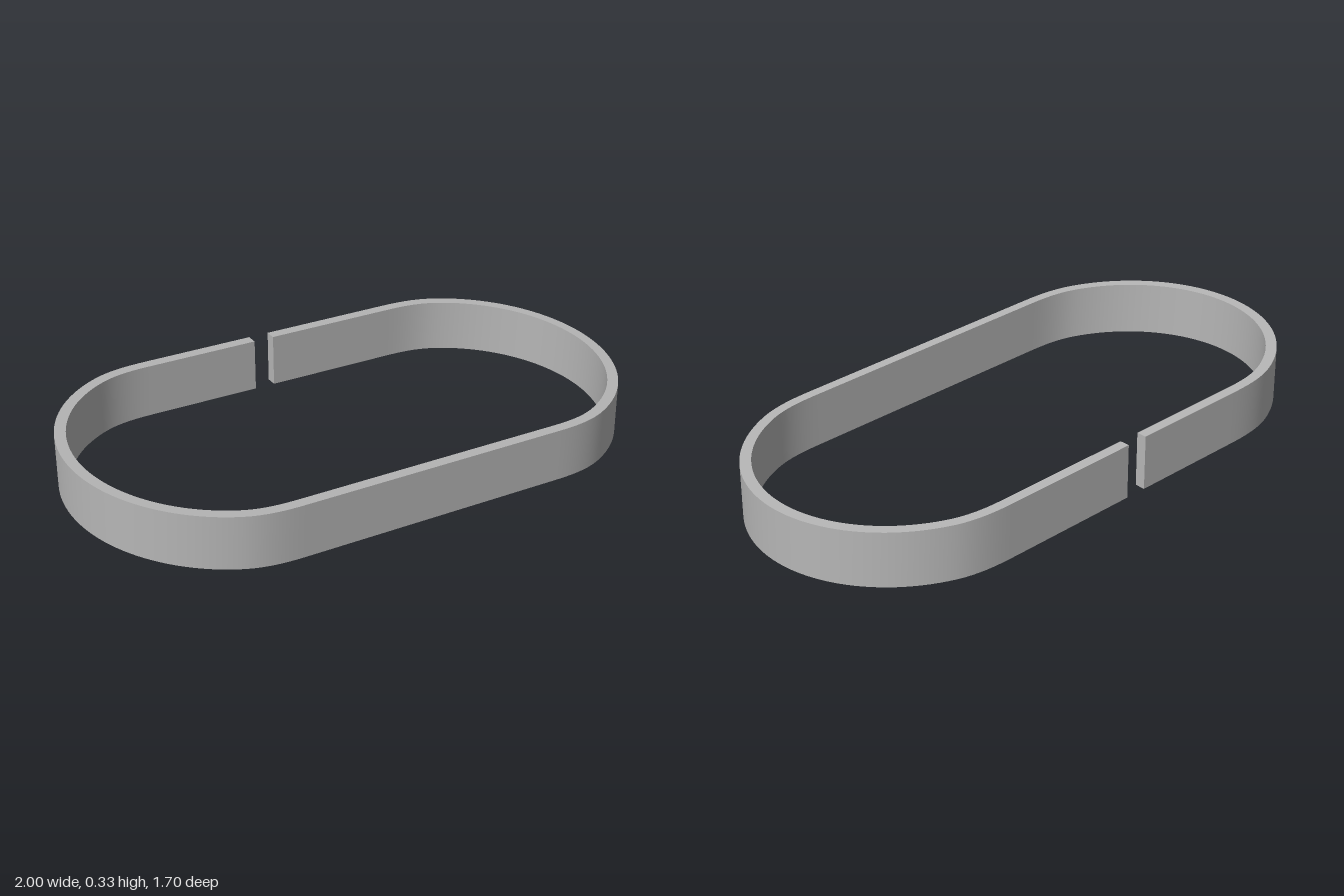
import * as THREE from 'three';

const HALF_STRAIGHT = 0.513; // centre of each rounded end along the long axis
const HALF_WIDTH = 0.557;
const BULGE = 0.011;         // the ends swell slightly past the straights
const WALL = 0.04;
const HEIGHT = 0.202;
const AXIS = new THREE.Vector2(0.86, -0.56).normalize(); // long axis in x, z

// Outline stations in the band's own axes: t along, n across, (ot, on) outward
function outline() {
  const stations = [{ t: 0, n: -HALF_WIDTH, ot: 0, on: -1 }];
  const steps = 64;
  for (const end of [1, -1]) {
    for (let i = 0; i <= steps; i++) {
      const a = (i / steps) * Math.PI;
      const r = HALF_WIDTH + BULGE * THREE.MathUtils.smoothstep(Math.min(a, Math.PI - a), 0, 0.4);
      const ot = end * Math.sin(a), on = -end * Math.cos(a);
      stations.push({ t: end * HALF_STRAIGHT + r * ot, n: r * on, ot, on });
    }
  }
  stations.push({ t: -0.08, n: -HALF_WIDTH, ot: 0, on: -1 });
  return stations;
}

// Vertical wall standing on a gently sloping plane
function corner(s, inset, up) {
  const t = s.t - s.ot * inset, n = s.n - s.on * inset;
  const x = t * AXIS.x - n * AXIS.y;
  const z = t * AXIS.y + n * AXIS.x;
  return [x, 0.064 - 0.053 * x + 0.026 * z + up, z];
}

function makeGeometry(points, index) {
  const g = new THREE.BufferGeometry();
  g.setAttribute('position', new THREE.Float32BufferAttribute(points.flat(), 3));
  g.setIndex(index);
  g.computeVertexNormals();
  return g;
}

export function createModel() {
  const group = new THREE.Group();
  group.name = 'splitBand';
  const grey = new THREE.MeshStandardMaterial({ color: 0xb6b6b6 });
  grey.name = 'grey';
  const add = (name, geometry) => {
    const mesh = new THREE.Mesh(geometry, grey);
    mesh.name = name;
    group.add(mesh);
  };

  const sections = outline().map((s) => [
    corner(s, 0, 0), corner(s, 0, HEIGHT), corner(s, WALL, HEIGHT), corner(s, WALL, 0),
  ]);

  // Four long faces, separate so that the rims stay sharp
  ['outerWall', 'topRim', 'innerWall', 'bottomRim'].forEach((name, side) => {
    const points = [], index = [];
    sections.forEach((c, i) => {
      points.push(c[side], c[(side + 1) % 4]);
      if (i < sections.length - 1) {
        const k = i * 2;
        index.push(k, k + 1, k + 2, k + 2, k + 1, k + 3);
      }
    });
    add(name, makeGeometry(points, index));
  });

  // Cut ends on either side of the gap
  add('startCut', makeGeometry(sections[0], [0, 2, 1, 0, 3, 2]));
  add('endCut', makeGeometry(sections[sections.length - 1], [0, 1, 2, 0, 2, 3]));
  return group;
}
